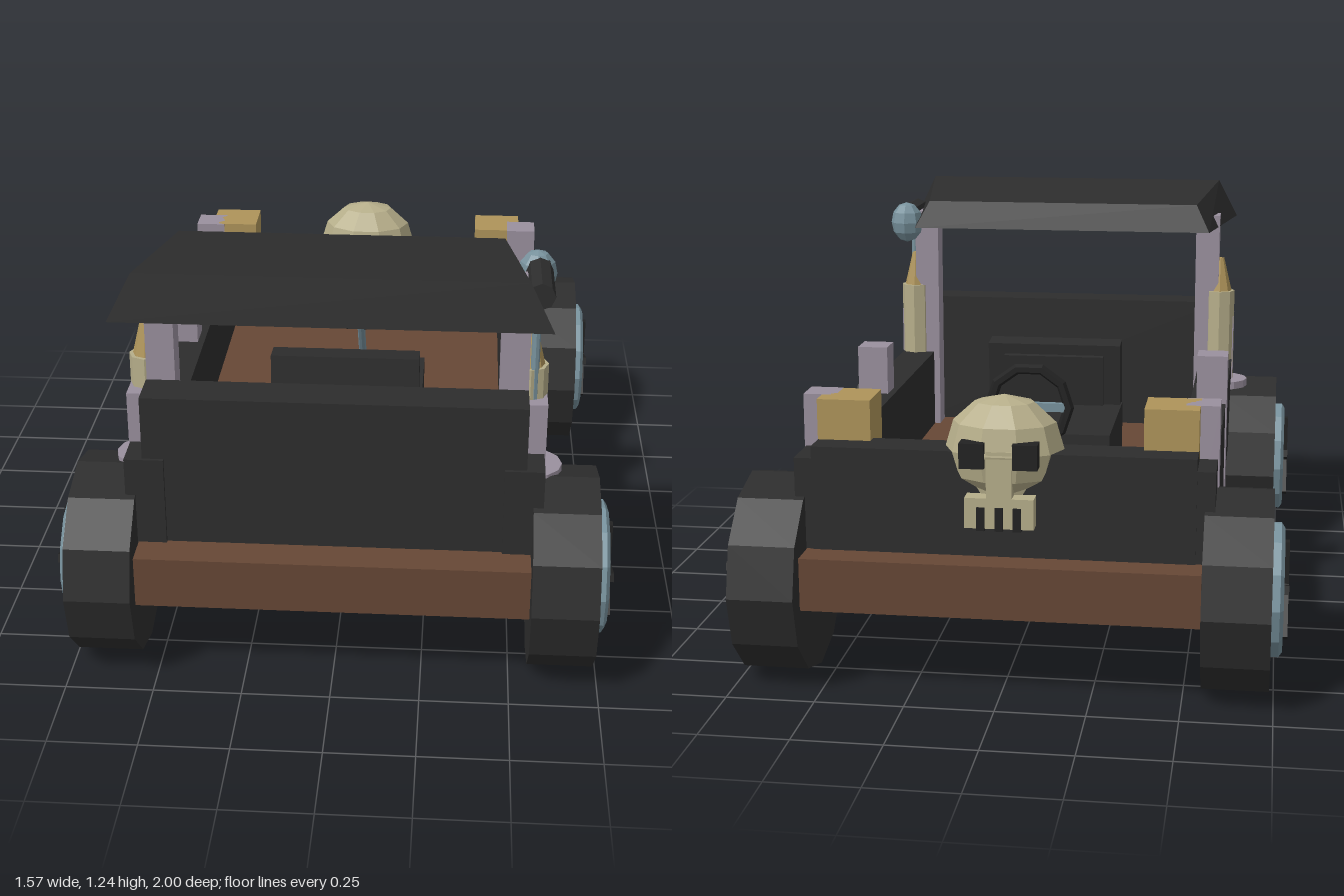
import * as THREE from 'three';

const paint = (name, color) => {
  const m = new THREE.MeshStandardMaterial({ color });
  m.name = name;
  m.flatShading = true;
  return m;
};

export function createModel() {
  const charcoal = paint('charcoal', 0x2d2d2d);
  const black = paint('black', 0x222222);
  const brown = paint('brown wood', 0x664735);
  const lilac = paint('lilac grey', 0x9a909e);
  const blue = paint('steel blue', 0x78929d);
  const gold = paint('gold', 0xae945a);
  const bone = paint('bone', 0xb6ae8a);

  const model = new THREE.Group();
  model.name = 'buggy';

  function add(name, geometry, material, x, y, z, parent = model) {
    const m = new THREE.Mesh(geometry, material);
    m.name = name;
    m.position.set(x, y, z);
    parent.add(m);
    return m;
  }
  // Box given by its lower and upper limits on each axis
  function box(name, mat, x0, x1, y0, y1, z0, z1, parent) {
    return add(name, new THREE.BoxGeometry(x1 - x0, y1 - y0, z1 - z0), mat,
      (x0 + x1) / 2, (y0 + y1) / 2, (z0 + z1) / 2, parent);
  }
  // Box mirrored onto both sides
  function pair(name, mat, x0, x1, ...rest) {
    box(name, mat, x0, x1, ...rest);
    box(name, mat, -x1, -x0, ...rest);
  }
  // Straight rod between two points
  function rod(name, mat, a, b, r) {
    const d = b.clone().sub(a);
    const m = add(name, new THREE.CylinderGeometry(r, r, d.length(), 8), mat, 0, 0, 0);
    m.position.copy(a).add(b).multiplyScalar(0.5);
    m.quaternion.setFromUnitVectors(new THREE.Vector3(0, 1, 0), d.normalize());
  }

  // Body
  box('floor', brown, -0.55, 0.55, 0.24, 0.39, -0.935, 0.935);
  pair('sideWall', charcoal, 0.47, 0.58, 0.385, 0.65, -0.84, 0.84);
  box('rearWall', charcoal, -0.53, 0.53, 0.385, 0.835, 0.71, 0.83);
  box('frontWall', charcoal, -0.53, 0.53, 0.385, 0.685, -0.845, -0.73);

  // Posts and corner blocks
  for (const z of [-0.66, 0, 0.685]) pair('sidePost', lilac, 0.49, 0.584, 0.28, 0.8, z - 0.046, z + 0.046);
  pair('canopyPost', lilac, 0.45, 0.53, 0.385, 1.15, 0.62, 0.7);
  pair('cornerBlock', gold, 0.38, 0.53, 0.64, 0.8, -0.765, -0.62);

  // Canopy: a box with its corners drawn in and tilted
  const canopy = new THREE.BoxGeometry(2, 2, 2);
  const p = canopy.attributes.position;
  for (let i = 0; i < p.count; i++) {
    const top = p.getY(i) > 0, rear = p.getZ(i) > 0;
    const w = rear ? (top ? 0.515 : 0.58) : (top ? 0.455 : 0.5);
    p.setXYZ(i, Math.sign(p.getX(i)) * w,
      top ? (rear ? 1.24 : 1.2) : 1.112,
      rear ? (top ? 0.925 : 0.95) : (top ? 0.505 : 0.468));
  }
  canopy.computeVertexNormals();
  add('canopy', canopy, charcoal, 0, 0, 0);

  // Wheels, built with the axle along +x and turned for the other side
  const rimProfile = [[0.19, 0], [0.19, 0.025], [0.175, 0.035], [0.13, 0.035], [0.12, 0.015]]
    .map(([r, y]) => new THREE.Vector2(r, y));
  for (const side of [1, -1]) for (const z of [0.715, -0.715]) {
    const wheel = new THREE.Group();
    wheel.name = 'wheel';
    wheel.position.set(side * 0.645, 0.287, z);
    wheel.rotation.y = side > 0 ? 0 : Math.PI;
    model.add(wheel);
    const disc = (name, geo, mat, x) => { add(name, geo, mat, x, 0, 0, wheel).rotation.z = -Math.PI / 2; };
    disc('tyre', new THREE.CylinderGeometry(0.286, 0.286, 0.186, 12), charcoal, 0);
    disc('rim', new THREE.LatheGeometry(rimProfile, 12), blue, 0.09);
    disc('hub', new THREE.CylinderGeometry(0.126, 0.126, 0.03, 12), lilac, 0.1);
    disc('hubCap', new THREE.CylinderGeometry(0.025, 0.025, 0.025, 10), black, 0.127);
    for (let i = 0; i < 5; i++) {
      const spoke = new THREE.BoxGeometry(0.025, 0.14, 0.025).translate(0, 0.07, 0);
      add('spoke', spoke, black, 0.126, 0, 0, wheel).rotation.x = i * Math.PI * 0.4;
    }
  }

  // Seat
  box('seatCushion', charcoal, -0.225, 0.225, 0.385, 0.55, -0.1, 0.36);
  const back = new THREE.Group();
  back.name = 'seatBack';
  back.position.set(0, 0.4, 0.37);
  back.rotation.x = -0.1;
  model.add(back);
  box('backFrame', charcoal, -0.22, 0.22, 0, 0.36, -0.04, 0.04, back);
  box('backPad', charcoal, -0.165, 0.165, 0.1, 0.325, -0.06, -0.03, back);

  // Steering
  add('steeringWheel', new THREE.TorusGeometry(0.12, 0.016, 6, 10), black, 0, 0.685, -0.3);
  box('steeringBar', blue, -0.11, 0.11, 0.672, 0.698, -0.309, -0.291);
  rod('steeringColumn', blue, new THREE.Vector3(0, 0.685, -0.3), new THREE.Vector3(0, 0.385, -0.505), 0.013);

  // Skull ornament
  const cranium = new THREE.SphereGeometry(1, 10, 6).scale(0.165, 0.15, 0.122);
  add('cranium', cranium, bone, 0, 0.685, -0.78);
  add('skullBase', new THREE.CylinderGeometry(0.12, 0.085, 0.14, 8).scale(1, 1, 0.75), bone, 0, 0.59, -0.79);
  box('upperJaw', bone, -0.095, 0.095, 0.485, 0.57, -0.895, -0.84);
  box('noseBridge', bone, -0.035, 0.035, 0.56, 0.7, -0.895, -0.85);
  for (const x of [-0.0725, 0.0725])
    box('eyeSocket', black, x - 0.034, x + 0.034, 0.655, 0.725, -0.91, -0.86);
  for (const x of [-0.05, 0, 0.05])
    box('toothGap', black, x - 0.011, x + 0.011, 0.48, 0.545, -0.902, -0.85);

  // Shells standing on round trays beside the rear posts
  for (const s of [1, -1]) {
    add('tray', new THREE.CylinderGeometry(0.085, 0.085, 0.025, 12), lilac, s * 0.55, 0.568, 0.65);
    add('shellCase', new THREE.CylinderGeometry(0.05, 0.05, 0.32, 8), bone, s * 0.535, 0.73, 0.65);
    add('shellTip', new THREE.CylinderGeometry(0.012, 0.04, 0.115, 8), gold, s * 0.535, 0.945, 0.65);
  }

  // Spotlight under the canopy
  rod('lampPole', blue, new THREE.Vector3(0.545, 0.8, 0.685), new THREE.Vector3(0.545, 1.12, 0.685), 0.012);
  const lamp = add('lampBody', new THREE.CylinderGeometry(0.038, 0.038, 0.2, 8), charcoal, 0.55, 1.138, 0.67);
  lamp.rotation.x = Math.PI / 2;
  add('lampGlass', new THREE.SphereGeometry(0.065, 8, 6).scale(0.85, 1.05, 0.8), blue, 0.545, 1.12, 0.555);

  return model;
}
